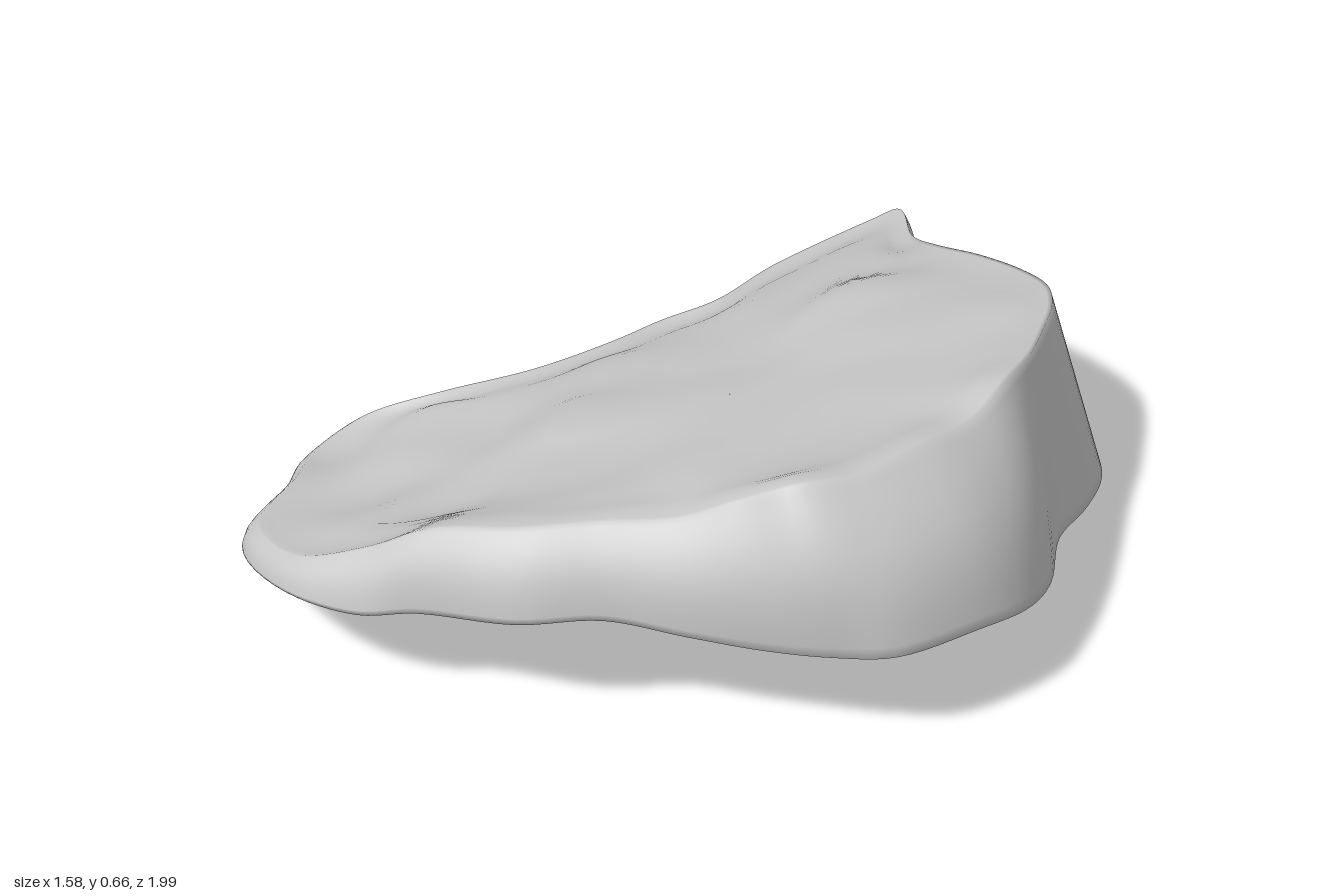
import * as THREE from 'three';

// Lower rim of the slab, clockwise from the back spike: x, y, z
const LOWER = [
  [-0.70, 0.19, -1.0], [-0.52, 0.15, -0.935], [-0.32, 0.10, -0.87], [-0.16, 0.05, -0.91], [0, 0.005, -0.925],
  [0.15, 0.02, -0.90], [0.28, 0.06, -0.81], [0.40, 0.11, -0.66], [0.50, 0.16, -0.50], [0.65, 0.20, -0.35],
  [0.75, 0.26, -0.20], [0.785, 0.30, -0.05], [0.77, 0.31, 0.15], [0.70, 0.31, 0.25], [0.60, 0.31, 0.35],
  [0.50, 0.33, 0.46], [0.38, 0.35, 0.58], [0.28, 0.34, 0.72], [0.10, 0.31, 0.84], [0, 0.28, 0.92],
  [-0.17, 0.26, 0.985], [-0.45, 0.19, 0.935], [-0.60, 0.14, 0.75], [-0.75, 0.09, 0.62], [-0.79, 0.11, 0.43],
  [-0.70, 0.14, 0.30], [-0.63, 0.15, 0.10], [-0.62, 0.15, -0.10], [-0.645, 0.14, -0.26], [-0.61, 0.15, -0.38],
  [-0.68, 0.15, -0.60], [-0.72, 0.16, -0.92],
];

// Upper crease, paired point for point with the lower rim
const UPPER = [
  [-0.69, 0.21, -0.985], [-0.50, 0.27, -0.88], [-0.32, 0.36, -0.81], [-0.16, 0.42, -0.80], [0, 0.47, -0.785],
  [0.13, 0.51, -0.75], [0.23, 0.54, -0.68], [0.33, 0.57, -0.57], [0.42, 0.60, -0.46], [0.50, 0.63, -0.33],
  [0.56, 0.62, -0.19], [0.59, 0.64, -0.05], [0.61, 0.65, 0.12], [0.58, 0.66, 0.26], [0.50, 0.61, 0.34],
  [0.42, 0.56, 0.43], [0.32, 0.54, 0.54], [0.22, 0.52, 0.67], [0.07, 0.48, 0.79], [-0.03, 0.41, 0.86],
  [-0.18, 0.33, 0.94], [-0.43, 0.25, 0.90], [-0.58, 0.20, 0.73], [-0.72, 0.14, 0.60], [-0.77, 0.145, 0.44],
  [-0.68, 0.20, 0.30], [-0.61, 0.22, 0.10], [-0.60, 0.22, -0.10], [-0.62, 0.21, -0.26], [-0.59, 0.23, -0.38],
  [-0.66, 0.21, -0.60], [-0.70, 0.20, -0.92],
];

// Interior heights on the worn top and the furrowed underside
const TOP = [
  [-0.4, 0.32, -0.65], [-0.4, 0.32, -0.4], [-0.4, 0.31, 0], [-0.4, 0.27, 0.4], [-0.4, 0.24, 0.7],
  [-0.2, 0.43, -0.5], [-0.2, 0.38, -0.12], [-0.15, 0.35, 0.65], [0, 0.48, -0.45], [0, 0.45, 0],
  [0, 0.43, 0.4], [0.3, 0.56, -0.25], [0.3, 0.54, 0.2], [0.15, 0.53, -0.6], [-0.2, 0.39, 0.25],
];
const UNDER = [
  [-0.36, 0.03, -0.45], [-0.34, 0.06, -0.13], [-0.4, 0.08, 0.43], [-0.15, 0.13, 0.43], [0, 0.2, 0.1],
  [0.3, 0.24, 0], [0.3, 0.19, -0.4], [-0.1, 0.13, -0.45], [-0.3, 0.14, 0.13], [-0.3, 0.09, -0.28],
  [-0.35, 0.09, -0.68], [0, 0.09, -0.7], [0.1, 0.26, 0.6], [-0.2, 0.19, 0.75], [0.52, 0.27, 0.1],
];

const SEGMENTS = 192;
const toVectors = (points) => points.map((p) => new THREE.Vector3(...p));

// Distance-weighted height field around a tilted base plane
function heightField(points, base, slope) {
  return (x, z) => {
    let sum = 0, total = 0;
    for (const [px, py, pz] of points) {
      const w = 1 / ((x - px) ** 2 + (z - pz) ** 2 + 0.008) ** 2;
      sum += w * (py - base - slope * px);
      total += w;
    }
    return base + slope * x + sum / total;
  };
}

// Scales a rim towards the middle and lays it on a height field
function capRing(rim, s, height) {
  const keep = THREE.MathUtils.smoothstep(s, 0.82, 1);
  return rim.map((p) => {
    const x = p.x * s, z = p.z * s;
    return new THREE.Vector3(x, THREE.MathUtils.lerp(height(x, z), p.y, keep), z);
  });
}

// Blends the two rims; the right and front faces bulge, the back stays flat
function wallRing(lower, upper, t) {
  return lower.map((a, i) => {
    const p = a.clone().lerp(upper[i], t);
    const thick = upper[i].y - a.y;
    const round = THREE.MathUtils.smoothstep(a.z, -0.6, 0);
    const push = Math.sin(Math.PI * t) * thick * 0.13 * round;
    const r = Math.hypot(p.x, p.z);
    p.x += (p.x / r) * push;
    p.z += (p.z / r) * push;
    p.y += push * 0.6;
    return p;
  });
}

function sampleRim(points) {
  const curve = new THREE.CatmullRomCurve3(toVectors(points), true);
  return Array.from({ length: SEGMENTS }, (_, i) => curve.getPoint(i / SEGMENTS));
}

function buildSlab() {
  const lower = sampleRim(LOWER), upper = sampleRim(UPPER);
  const under = heightField([...LOWER, ...UNDER], 0.17, 0.12);
  const top = heightField([...UPPER, ...TOP], 0.45, 0.3);
  const steps = [0.001, 0.07, 0.15, 0.23, 0.31, 0.39, 0.47, 0.55, 0.63, 0.7, 0.77, 0.83, 0.88, 0.92, 0.96, 0.985];

  // Rings from the middle of the underside, over the wall, to the middle of the top
  const rings = [
    ...steps.map((s) => capRing(lower, s, under)),
    ...[0, 0.06, 0.18, 0.32, 0.46, 0.6, 0.74, 0.86, 0.95, 1].map((t) => wallRing(lower, upper, t)),
    ...steps.slice().reverse().map((s) => capRing(upper, s, top)),
  ];

  const index = [];
  for (let r = 0; r < rings.length - 1; r++) {
    for (let i = 0; i < SEGMENTS; i++) {
      const j = (i + 1) % SEGMENTS;
      const a = r * SEGMENTS + i, b = r * SEGMENTS + j;
      index.push(a, a + SEGMENTS, b, b, a + SEGMENTS, b + SEGMENTS);
    }
  }
  const geometry = new THREE.BufferGeometry().setFromPoints(rings.flat());
  geometry.setIndex(index);
  geometry.computeVertexNormals();
  return geometry;
}

export function createModel() {
  const group = new THREE.Group();
  group.name = 'rock';
  const slab = new THREE.Mesh(buildSlab(), new THREE.MeshStandardMaterial({ color: 0xcccccc }));
  slab.name = 'rockSlab';
  group.add(slab);
  return group;
}
